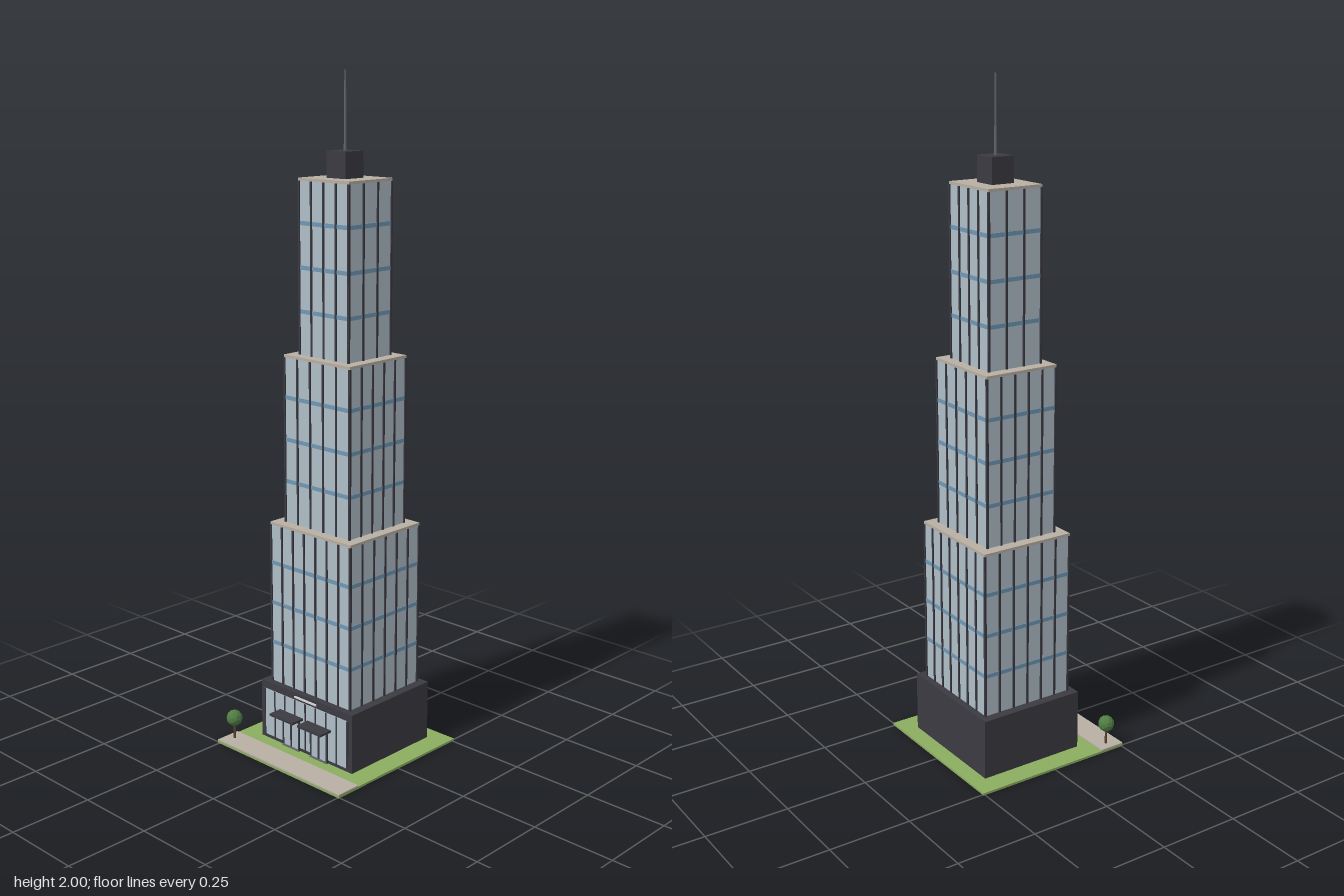
import * as THREE from 'three';

const mat = (name, color, flat = false) => {
  const m = new THREE.MeshStandardMaterial({ color, flatShading: flat });
  m.name = name;
  return m;
};

export function createModel() {
  const root = new THREE.Group();
  root.name = 'skyscraper';

  const grass = mat('grass', 0x8bad60);
  const stone = mat('stone', 0xb8afa2);
  const dark = mat('darkMetal', 0x3b3a42);
  const glass = mat('glass', 0xb0bec7);
  const blue = mat('blueBand', 0x7097b5);
  const steel = mat('steel', 0x66676d);
  const pale = mat('paleSign', 0xd8dade);
  const bark = mat('bark', 0x5c4433);
  const leaf = mat('leaf', 0x4f7d43, true);

  // Box given by its centre in x and z, and its bottom and top
  const box = (parent, name, m, x, z, w, d, y0, y1) => {
    const mesh = new THREE.Mesh(new THREE.BoxGeometry(w, y1 - y0, d), m);
    mesh.name = name;
    mesh.position.set(x, (y0 + y1) / 2, z);
    parent.add(mesh);
    return mesh;
  };
  const group = (name) => {
    const g = new THREE.Group();
    g.name = name;
    root.add(g);
    return g;
  };

  const CZ = -0.038; // tower axis

  // Plot and pavement
  box(root, 'lawn', grass, 0, -0.001, 0.51, 0.509, 0, 0.007);
  box(root, 'pavement', stone, 0, 0.2135, 0.51, 0.08, 0.006, 0.011);

  // Base block
  box(root, 'base', dark, 0, CZ, 0.378, 0.336, 0.006, 0.19);

  // Glazed tiers with mullions, floor bands and a stone roof
  const tiers = [
    { w: 0.326, d: 0.298, y0: 0.19, y1: 0.695, nx: 7, nz: 6 },
    { w: 0.262, d: 0.237, y0: 0.695, y1: 1.2, nx: 5, nz: 5 },
    { w: 0.196, d: 0.178, y0: 1.2, y1: 1.705, nx: 4, nz: 3 },
  ];
  tiers.forEach(({ w, d, y0, y1, nx, nz }, k) => {
    const g = group('tier' + (k + 1));
    const top = y1 - 0.008;
    box(g, 'glassWall', glass, 0, CZ, w - 0.004, d - 0.004, y0, top);
    box(g, 'roof', stone, 0, CZ, w, d, top, y1);
    for (let i = 1; i < 4; i++) {
      const y = y0 + (i * (y1 - y0)) / 4;
      box(g, 'floorBand', blue, 0, CZ, w - 0.001, d - 0.001, y - 0.006, y + 0.006);
    }
    for (const s of [-1, 1]) {
      for (let i = 0; i <= nx; i++) {
        const x = (i / nx - 0.5) * (w - 0.004);
        box(g, 'mullion', dark, x, CZ + s * (d / 2 - 0.001), 0.006, 0.005, y0, top);
      }
      for (let i = 0; i <= nz; i++) {
        const z = CZ + (i / nz - 0.5) * (d - 0.004);
        box(g, 'mullion', dark, s * (w / 2 - 0.001), z, 0.005, 0.006, y0, top);
      }
    }
  });

  // Lobby front
  const lobby = group('lobby');
  box(lobby, 'lobbyGlass', glass, 0, 0.13, 0.344, 0.004, 0.018, 0.167);
  for (let i = 0; i <= 8; i++) {
    box(lobby, 'lobbyMullion', dark, (i / 8 - 0.5) * 0.344, 0.131, 0.005, 0.005, 0.018, 0.167);
  }
  box(lobby, 'signPlate', pale, 0, 0.131, 0.09, 0.004, 0.174, 0.18);

  // Two entrances, each a pair of framed doors under a canopy
  for (const s of [-1, 1]) {
    const g = group(s < 0 ? 'rightEntrance' : 'leftEntrance');
    const x = s * 0.058;
    box(g, 'canopy', dark, x, 0.153, 0.097, 0.047, 0.111, 0.118);
    box(g, 'doorGlass', glass, x, 0.1325, 0.064, 0.003, 0.008, 0.1);
    box(g, 'doorHead', dark, x, 0.133, 0.07, 0.006, 0.098, 0.105);
    box(g, 'threshold', steel, x, 0.1335, 0.07, 0.008, 0.006, 0.012);
    for (const t of [-1, 0, 1]) {
      box(g, 'doorFrame', dark, x + t * 0.033, 0.133, 0.005, 0.006, 0.008, 0.1);
    }
  }

  // Rooftop plant room and mast
  box(root, 'plantRoom', dark, 0, CZ + 0.001, 0.073, 0.073, 1.705, 1.78);
  const mast = new THREE.Mesh(new THREE.CylinderGeometry(0.0025, 0.004, 0.22, 8), steel);
  mast.name = 'mast';
  mast.position.set(0, 1.89, CZ + 0.001);
  root.add(mast);

  // Street tree
  const tree = group('tree');
  tree.position.set(-0.227, 0, 0.21);
  const trunk = new THREE.Mesh(new THREE.CylinderGeometry(0.003, 0.004, 0.055, 6), bark);
  trunk.name = 'trunk';
  trunk.position.y = 0.0375;
  const crown = new THREE.Mesh(new THREE.IcosahedronGeometry(0.025, 1), leaf);
  crown.name = 'crown';
  crown.position.y = 0.077;
  tree.add(trunk, crown);

  return root;
}
